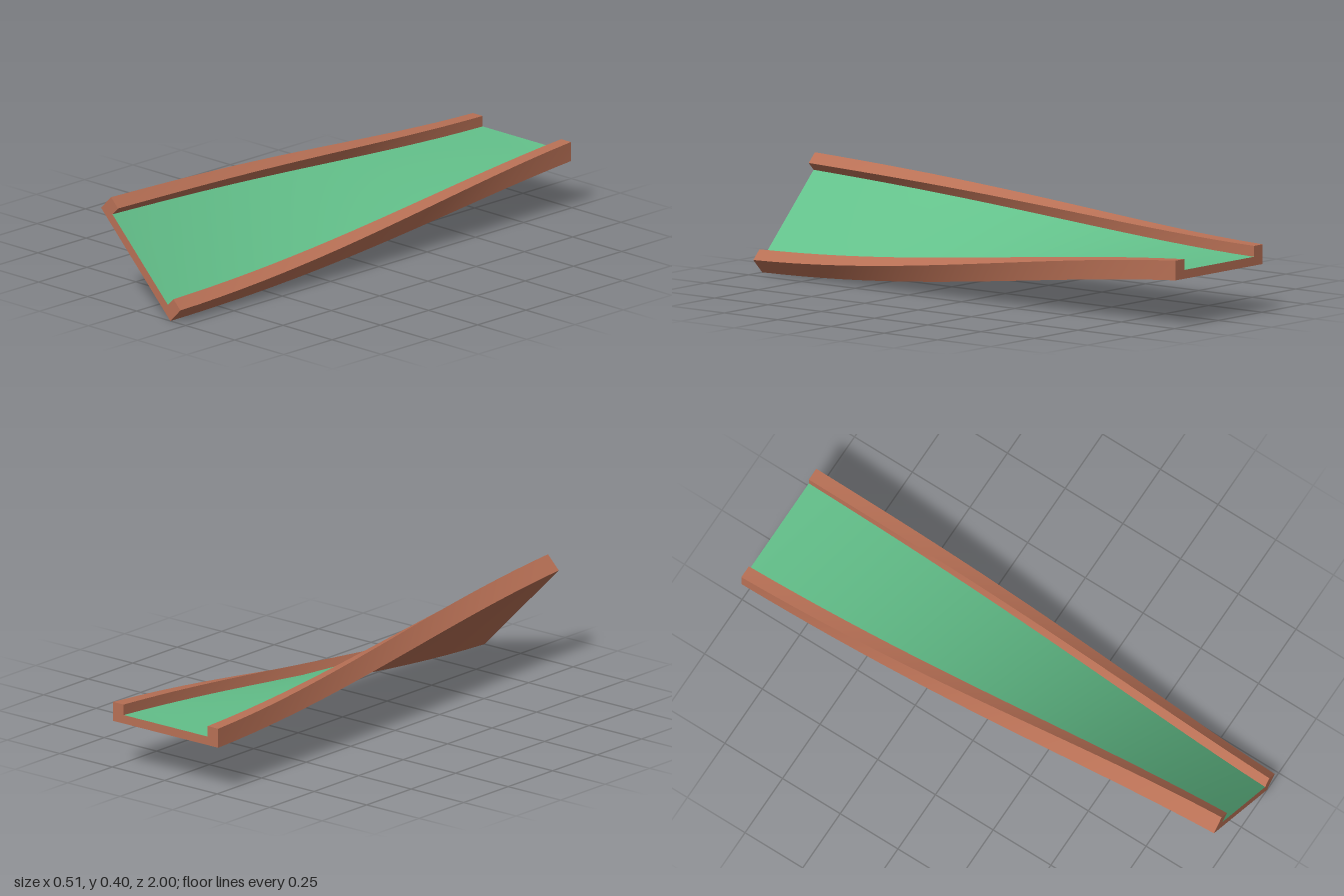
import * as THREE from 'three';

const SEGMENTS = 20, TWIST = Math.PI / 4, W = 0.25, INNER = 0.2, FLOOR = 0.0325, TOP = 0.0725;

// U-shaped channel section, counter-clockwise seen from the front
const profile = [
  [-W, 0], [W, 0], [W, TOP], [INNER, TOP],
  [INNER, FLOOR], [-INNER, FLOOR], [-INNER, TOP], [-W, TOP],
].map(([x, y]) => new THREE.Vector2(x, y));

// Placement of the section at t = 0 (back) to 1 (front): eased roll and a slight sag
function frame(t) {
  const ease = 0.5 * t + 0.5 * t * t * (3 - 2 * t);
  const y = 0.177 - 0.01 * 4 * t * (1 - t);
  return new THREE.Matrix4().makeTranslation(-0.005, y, -1 + 2 * t)
    .multiply(new THREE.Matrix4().makeRotationZ(-TWIST * ease));
}

// One twisted face swept along a profile edge
function strip(a, b) {
  const positions = [], index = [];
  for (let i = 0; i <= SEGMENTS; i++) {
    const m = frame(i / SEGMENTS);
    for (const p of [a, b]) positions.push(...new THREE.Vector3(p.x, p.y, 0).applyMatrix4(m).toArray());
    if (i < SEGMENTS) {
      const k = i * 2;
      index.push(k, k + 1, k + 2, k + 1, k + 3, k + 2);
    }
  }
  const g = new THREE.BufferGeometry();
  g.setAttribute('position', new THREE.Float32BufferAttribute(positions, 3));
  g.setIndex(index);
  g.computeVertexNormals();
  return g;
}

export function createModel() {
  const model = new THREE.Group();
  model.name = 'twistedTrack';
  const clay = new THREE.MeshStandardMaterial({ name: 'clay brown', color: 0xb87055 });
  const green = new THREE.MeshStandardMaterial({ name: 'track green', color: 0x63c08a });
  const add = (name, geometry, material) => {
    const mesh = new THREE.Mesh(geometry, material);
    mesh.name = name;
    model.add(mesh);
  };

  // Long faces of base, rails and running surface
  const names = ['underside', 'leftRailOuter', 'leftRailTop', 'leftRailInner',
    'trackFloor', 'rightRailInner', 'rightRailTop', 'rightRailOuter'];
  names.forEach((name, i) => {
    add(name, strip(profile[i], profile[(i + 1) % profile.length]), name === 'trackFloor' ? green : clay);
  });

  // End faces
  const shape = new THREE.Shape(profile);
  add('frontEnd', new THREE.ShapeGeometry(shape).applyMatrix4(frame(1)), clay);
  add('backEnd', new THREE.ShapeGeometry(shape).rotateY(Math.PI).applyMatrix4(frame(0)), clay);
  return model;
}
